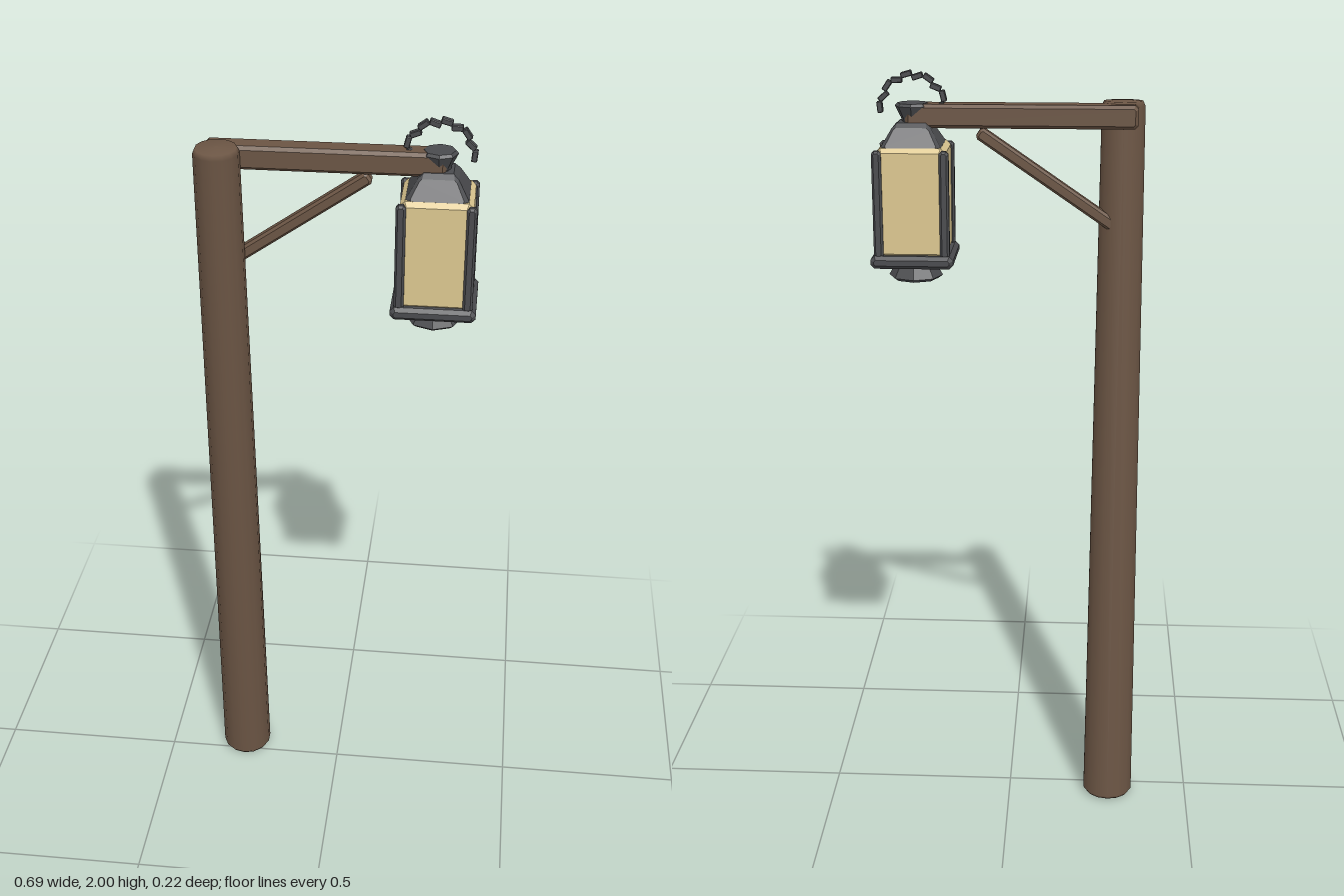
import * as THREE from 'three';

const wood = new THREE.MeshStandardMaterial({ color: 0x6b5544 });
const metal = new THREE.MeshStandardMaterial({ color: 0x4a4b4e, flatShading: true });
const glass = new THREE.MeshStandardMaterial({ color: 0xdcc790, flatShading: true });

// Box with every edge cut by b, centred on its middle
function chamferBox(w, h, d, b) {
  const x = w / 2, y = h / 2;
  const outline = [[-x + b, -y], [x - b, -y], [x, -y + b], [x, y - b], [x - b, y], [-x + b, y], [-x, y - b], [-x, -y + b]];
  const shape = new THREE.Shape(outline.map(([u, v]) => new THREE.Vector2(u, v)));
  return new THREE.ExtrudeGeometry(shape, {
    depth: d - 2 * b, bevelEnabled: true, bevelSegments: 1, bevelThickness: b, bevelSize: b * 0.9, bevelOffset: -b * 0.9,
  }).center();
}

const lathe = (points, sides) =>
  new THREE.LatheGeometry(points.map(([r, y]) => new THREE.Vector2(r, y)), sides);

function add(parent, name, geometry, material, x = 0, y = 0, z = 0) {
  const mesh = new THREE.Mesh(geometry, material);
  mesh.name = name;
  mesh.position.set(x, y, z);
  parent.add(mesh);
  return mesh;
}

function createLantern() {
  const lantern = new THREE.Group();
  lantern.name = 'lantern';

  // Foot flaring downwards under the base plate
  add(lantern, 'foot', lathe([[0, 1.485], [0.058, 1.485], [0.069, 1.493], [0.045, 1.535], [0, 1.535]], 8), metal);
  add(lantern, 'basePlate', chamferBox(0.208, 0.032, 0.208, 0.01), metal, 0, 1.545);
  add(lantern, 'glassPanes', chamferBox(0.174, 0.272, 0.174, 0.012), glass, 0, 1.69);

  // Corner bars
  for (const sx of [-1, 1]) for (const sz of [-1, 1])
    add(lantern, 'cornerBar', chamferBox(0.024, 0.265, 0.024, 0.006), metal, sx * 0.083, 1.688, sz * 0.083);

  // Roof: a chamfered block drawn in towards the top
  const roof = chamferBox(0.164, 0.068, 0.164, 0.012);
  const p = roof.attributes.position;
  for (let i = 0; i < p.count; i++) {
    const s = THREE.MathUtils.lerp(1, 0.5, p.getY(i) / 0.068 + 0.5);
    p.setXYZ(i, p.getX(i) * s, p.getY(i), p.getZ(i) * s);
  }
  roof.computeVertexNormals();
  add(lantern, 'roof', roof, metal, 0, 1.848);

  add(lantern, 'cap', lathe([[0, 1.872], [0.025, 1.872], [0.029, 1.89], [0.044, 1.92], [0.038, 1.927], [0, 1.927]], 8), metal);

  // Broken ring of small links arching over the cap
  const ring = new THREE.Group();
  ring.name = 'hangingRing';
  const links = 10;
  for (let i = 0; i < links; i++) {
    const a = Math.PI * i / (links - 1);
    const r = i % 2 ? 0.076 : 0.081;
    const link = add(ring, 'link', chamferBox(0.014, 0.028, 0.018, 0.002), metal, r * Math.cos(a), 1.916 + r * Math.sin(a), 0);
    link.rotation.z = a + (i % 2 ? 0.5 : -0.1) * (a < Math.PI / 2 ? 1 : -1);
  }
  lantern.add(ring);
  return lantern;
}

export function createModel() {
  const model = new THREE.Group();
  model.name = 'lanternPost';

  // Leaning, tapered post with softened ends
  const post = add(model, 'post',
    lathe([[0, 0], [0.062, 0], [0.069, 0.01], [0.0555, 1.915], [0.05, 1.927], [0, 1.93]], 14), wood, -0.279, 0.004, -0.04);
  post.rotation.x = Math.atan2(0.093, 1.93);

  // Arm passing behind the post head
  add(model, 'arm', chamferBox(0.575, 0.058, 0.064, 0.009), wood, -0.028, 1.897, 0.005);

  // Diagonal brace below the arm
  const from = new THREE.Vector2(-0.265, 1.622), to = new THREE.Vector2(0.08, 1.857);
  const brace = add(model, 'brace', chamferBox(from.distanceTo(to), 0.032, 0.034, 0.007), wood,
    (from.x + to.x) / 2, (from.y + to.y) / 2, 0.005);
  brace.rotation.z = to.clone().sub(from).angle();

  const lantern = createLantern();
  lantern.position.set(0.243, 0, 0.005);
  model.add(lantern);
  return model;
}
